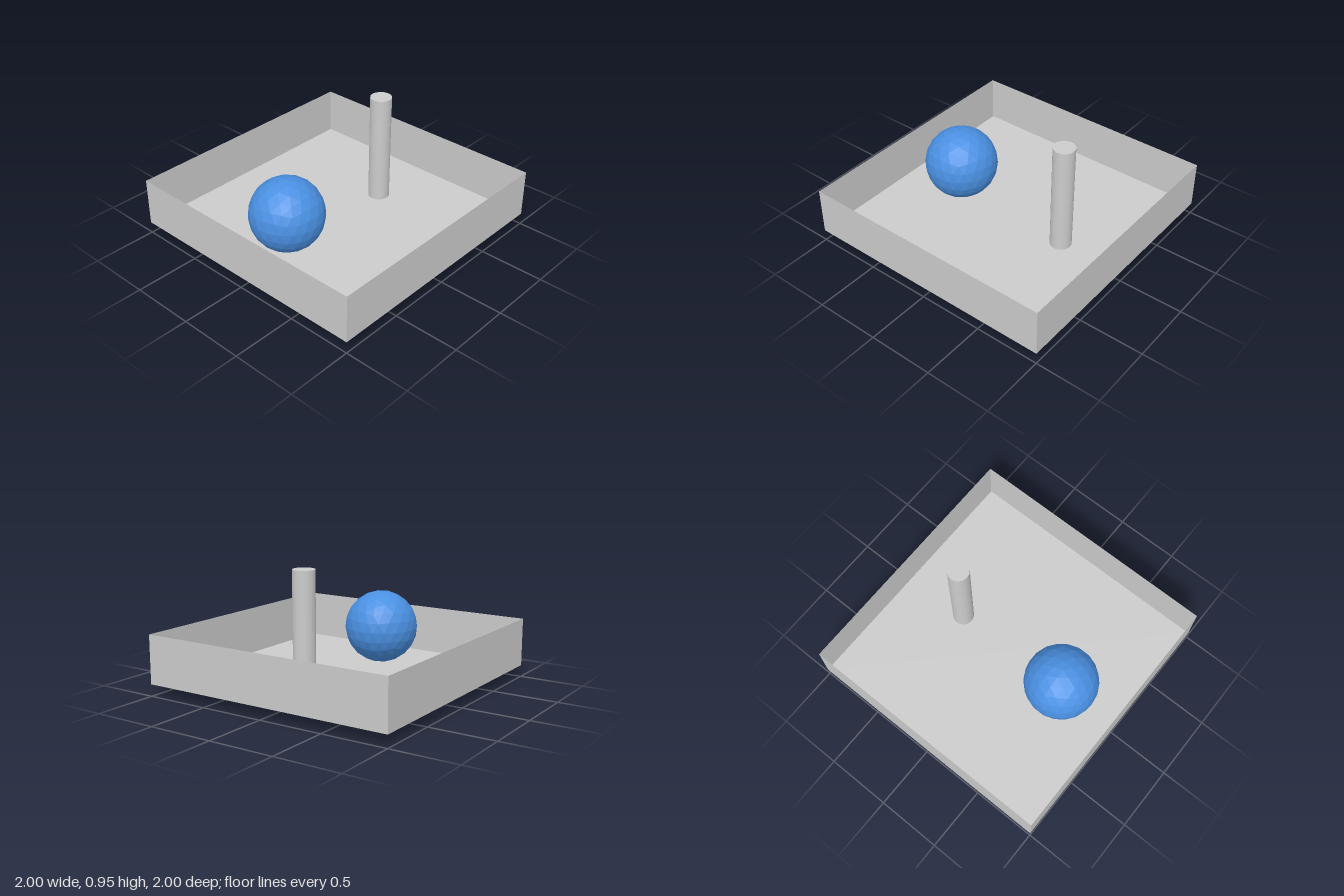
import * as THREE from 'three';

function addPart(group, name, geometry, options, x, y, z) {
  const mesh = new THREE.Mesh(geometry, new THREE.MeshStandardMaterial(options));
  mesh.name = name;
  mesh.position.set(x, y, z);
  group.add(mesh);
  return mesh;
}

export function createModel() {
  const model = new THREE.Group();
  model.name = 'trayWithBallAndPost';

  // Thin-walled square tray: a box without its top face
  const trayBottom = 0.09, trayHeight = 0.37;
  const trayGeo = new THREE.BoxGeometry(2, trayHeight, 2);
  const faces = Array.from(trayGeo.index.array);
  faces.splice(12, 6); // the +y face
  trayGeo.setIndex(faces);
  trayGeo.clearGroups();
  addPart(model, 'tray', trayGeo, { color: 0xcccccc, side: THREE.DoubleSide },
    0, trayBottom + trayHeight / 2, 0);

  // Round post passing through the tray floor
  const postHeight = 0.95;
  addPart(model, 'post', new THREE.CylinderGeometry(0.082, 0.082, postHeight, 32),
    { color: 0xcccccc, flatShading: true }, 0.01, postHeight / 2, -0.473);

  // Faceted ball resting on the floor, turned so one corner points straight up
  const ballRadius = 0.282;
  const ballGeo = new THREE.IcosahedronGeometry(ballRadius, 3);
  ballGeo.rotateZ(Math.atan(2 / (1 + Math.sqrt(5))));
  addPart(model, 'ball', ballGeo, { color: 0x4a90e2, flatShading: true },
    -0.02, 0.655 - ballRadius, 0.51);

  return model;
}
